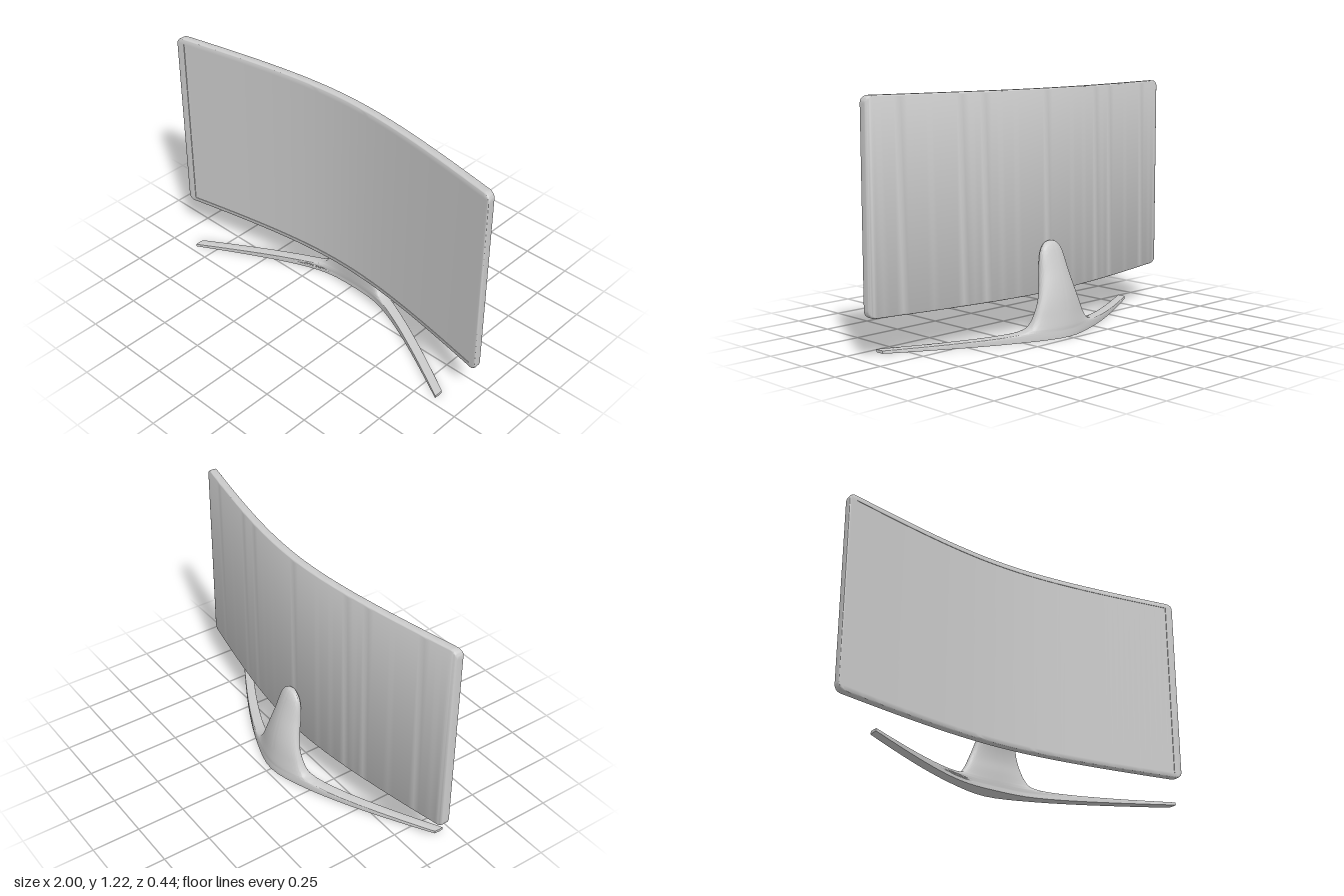
import * as THREE from 'three';
import { toCreasedNormals } from 'three/addons/utils/BufferGeometryUtils.js';

const material = new THREE.MeshStandardMaterial({ color: 0xcccccc });

// Skin a list of equal-length rings and close both ends by zipping them shut
function loft(rings, crease) {
  const n = rings[0].length, index = [];
  for (let j = 0; j < rings.length - 1; j++) {
    for (let i = 0; i < n; i++) {
      const a = j * n + i, b = j * n + (i + 1) % n;
      index.push(a, b, b + n, a, b + n, a + n);
    }
  }
  const last = (rings.length - 1) * n;
  for (let i = 0; i < n / 2; i++) {
    const a = i, b = i + 1, c = n - i - 1, d = (n - i) % n;
    index.push(a, c, b, a, d, c);
    index.push(last + a, last + b, last + c, last + a, last + c, last + d);
  }
  const geometry = new THREE.BufferGeometry();
  geometry.setAttribute('position', new THREE.Float32BufferAttribute(rings.flat(2), 3));
  geometry.setIndex(index);
  return toCreasedNormals(geometry, crease);
}

function addMesh(group, name, geometry) {
  const mesh = new THREE.Mesh(geometry, material);
  mesh.name = name;
  group.add(mesh);
}

// A curve that is round in the middle and runs out nearly straight
const bow = (x, soft, slope) => Math.hypot(soft, slope * x) - soft;

// ---- Display panel ----
const MID_Y = 0.7075, HALF_H = 0.5075, HALF_T = 0.0225, CORNER = 0.035, EDGE = 0.01;
const SCREEN_X = 0.957, SCREEN_TOP = 0.478, SCREEN_BOTTOM = -0.482;
const panelZ = (x) => -0.0475 + bow(x, 0.13, 0.2423);

// Vertical section of the housing, with a recess of the given depth in front
function panelRing(x, halfH, depth) {
  const u = Math.max(0, (Math.abs(x) - 1 + EDGE) / EDGE);
  const t = HALF_T - 0.008 * (1 - Math.sqrt(Math.max(0, 1 - u * u)));
  const points = [];
  const corner = (sy, sz, start) => {
    for (let k = 0; k <= 4; k++) {
      const a = start + (k / 4) * Math.PI / 2;
      points.push([sy * (halfH - EDGE) + EDGE * Math.cos(a), sz * (t - EDGE) + EDGE * Math.sin(a)]);
    }
  };
  const top = Math.min(SCREEN_TOP, halfH - EDGE), bottom = Math.max(SCREEN_BOTTOM, EDGE - halfH);
  corner(1, 1, 0);
  points.push([top, t], [top, t - depth], [bottom, t - depth], [bottom, t]);
  corner(-1, 1, Math.PI / 2);
  corner(-1, -1, Math.PI);
  corner(1, -1, Math.PI * 1.5);
  return points.map(([y, z]) => [x, MID_Y + y, panelZ(x) + z]);
}

function housing() {
  const end = [];
  for (let k = 0; k <= 8; k++) {
    const a = (k / 8) * Math.PI / 2;
    end.push([1 - CORNER + CORNER * Math.sin(a), HALF_H - CORNER + CORNER * Math.cos(a)]);
  }
  const rings = end.slice().reverse().map(([x, h]) => panelRing(-x, h, 0));
  rings.push(panelRing(-SCREEN_X, HALF_H, 0));
  for (let k = 0; k <= 60; k++) rings.push(panelRing(SCREEN_X * (k / 30 - 1), HALF_H, 0.006));
  rings.push(panelRing(SCREEN_X, HALF_H, 0));
  end.forEach(([x, h]) => rings.push(panelRing(x, h, 0)));
  return loft(rings, 0.7);
}

function screen() {
  const geometry = new THREE.PlaneGeometry(2 * SCREEN_X, SCREEN_TOP - SCREEN_BOTTOM, 60, 1);
  const p = geometry.attributes.position;
  for (let i = 0; i < p.count; i++) {
    p.setY(i, p.getY(i) + MID_Y + (SCREEN_TOP + SCREEN_BOTTOM) / 2);
    p.setZ(i, panelZ(p.getX(i)) + HALF_T - 0.003);
  }
  geometry.computeVertexNormals();
  return geometry;
}

// ---- Stand: horizontal slices from the wide legs up into the neck ----
// Each row: height, half width, back z, front z, end roundness (0 square, 1 oval)
const SLICES = [
  [0.014, 0.857, -0.22, -0.12, 0.04],
  [0.022, 0.6, -0.219, -0.12, 0.04],
  [0.030, 0.4, -0.218, -0.119, 0.05],
  [0.038, 0.28, -0.217, -0.118, 0.08],
  [0.047, 0.225, -0.217, -0.117, 0.15],
  [0.062, 0.193, -0.216, -0.116, 0.3],
  [0.1, 0.166, -0.211, -0.114, 0.5],
  [0.15, 0.144, -0.204, -0.113, 0.65],
  [0.2, 0.125, -0.195, -0.105, 0.75],
  [0.26, 0.107, -0.18, -0.088, 0.8],
  [0.32, 0.092, -0.161, -0.071, 0.8],
  [0.38, 0.08, -0.14, -0.067, 0.8],
  [0.42, 0.068, -0.125, -0.067, 0.8],
  [0.445, 0.052, -0.113, -0.069, 0.9],
  [0.46, 0.031, -0.102, -0.073, 1],
  [0.466, 0.008, -0.09, -0.081, 1],
];

function standRing([y, w, back, front, round]) {
  const ring = [], n = 96;
  for (let i = 0; i < n; i++) {
    const a = (i / n) * Math.PI * 2;
    const x = w * Math.cos(a);
    const s = i % (n / 2) === 0 ? 0 : Math.sin(a);
    const slim = 0.66 + 0.34 * Math.exp(-((x / 0.15) ** 2)) - 0.15 * Math.abs(x);
    const half = ((front - back) / 2) * slim;
    const z = (front + back) / 2 + bow(x, 0.22, 0.63);
    ring.push([x, y, z - half * Math.sign(s) * Math.abs(s) ** round]);
  }
  return ring;
}

function stand() {
  const spline = new THREE.CubicInterpolant(SLICES.map((_, i) => i), SLICES.flat(), 5);
  const rings = [standRing([0, ...SLICES[0].slice(1)])];
  const steps = (SLICES.length - 1) * 4;
  for (let k = 0; k <= steps; k++) rings.push(standRing(Array.from(spline.evaluate(k / 4))));
  return loft(rings, 0.7);
}

export function createModel() {
  const model = new THREE.Group();
  model.name = 'curvedMonitor';
  addMesh(model, 'housing', housing());
  addMesh(model, 'screen', screen());
  addMesh(model, 'stand', stand());
  return model;
}
